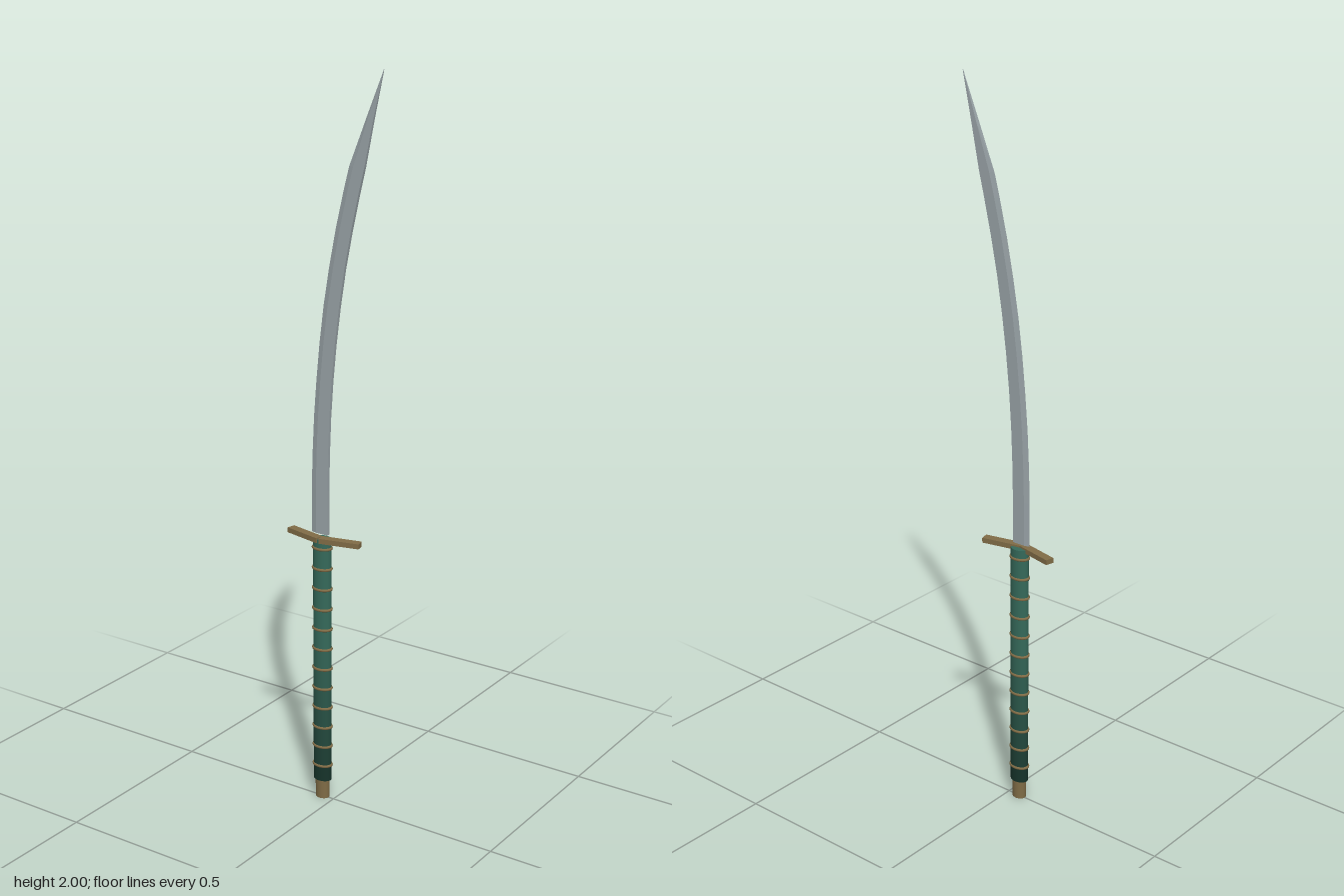
import * as THREE from 'three';

const AXIS = -0.036; // x of the grip's centre line
const mat = (color, extra = {}) => new THREE.MeshStandardMaterial({ color, ...extra });

function add(parent, name, geometry, material, x = 0, y = 0, z = 0) {
  const mesh = new THREE.Mesh(geometry, material);
  mesh.name = name;
  mesh.position.set(x, y, z);
  parent.add(mesh);
  return mesh;
}

// Blade: a five-sided section (sharp left edge, flat right spine) swept upwards
function bladeGeometry() {
  // y, sharp edge x, spine x, half thickness
  const rows = [
    [0.777, -0.069, -0.016, 0.0045], [0.9, -0.069, -0.016, 0.0045], [1.0, -0.066, -0.014, 0.0045],
    [1.1, -0.061, -0.010, 0.0045], [1.2, -0.053, -0.003, 0.0045], [1.3, -0.043, 0.007, 0.0045],
    [1.4, -0.030, 0.020, 0.0045], [1.5, -0.013, 0.036, 0.0045], [1.6, 0.007, 0.056, 0.0045],
    [1.7, 0.031, 0.079, 0.0045], [1.76, 0.047, 0.094, 0.0043], [1.88, 0.096, 0.119, 0.0035],
    [2.0, 0.146, 0.147, 0.0008],
  ];
  const section = [[0, 0], [0.3, 1], [1, 1], [1, -1], [0.3, -1]];
  const n = section.length;
  const pos = [], index = [];
  for (const [y, a, b, t] of rows)
    for (const [u, v] of section) pos.push(a + (b - a) * u, y, v * t);
  for (let r = 0; r < rows.length - 1; r++)
    for (let i = 0; i < n; i++) {
      const p = r * n + i, q = r * n + (i + 1) % n;
      index.push(p, q, p + n, q, q + n, p + n);
    }
  const top = (rows.length - 1) * n;
  for (let i = 1; i < n - 1; i++) {
    index.push(0, i + 1, i);
    index.push(top, top + i, top + i + 1);
  }
  const g = new THREE.BufferGeometry();
  g.setAttribute('position', new THREE.Float32BufferAttribute(pos, 3));
  g.setIndex(index);
  const flat = g.toNonIndexed();
  flat.computeVertexNormals();
  return flat;
}

export function createModel() {
  const sword = new THREE.Group();
  sword.name = 'sword';
  const bronze = mat(0x806c46);

  add(sword, 'blade', bladeGeometry(), mat(0x9aa4a8, { flatShading: true }));

  // Guard: two bars meeting in a shallow V
  const guard = new THREE.Group();
  guard.name = 'guard';
  sword.add(guard);
  for (const side of [-1, 1]) {
    const bar = add(guard, side < 0 ? 'rightGuardBar' : 'leftGuardBar',
      new THREE.BoxGeometry(0.113, 0.014, 0.0235), bronze, AXIS + side * 0.0565, 0.763, -0.001);
    bar.rotation.y = side * 0.22;
  }

  // Oval grip in bands that darken towards the pommel
  const grip = new THREE.Group();
  grip.name = 'grip';
  grip.position.x = AXIS;
  sword.add(grip);
  const bottom = 0.055, top = 0.765, bands = 12, step = 0.058;
  const dark = new THREE.Color(0x16332a), light = new THREE.Color(0x35695a);
  for (let i = 0; i <= bands; i++) {
    const y0 = i === 0 ? bottom : 0.1 + (i - 1) * step;
    const y1 = i === bands ? top : 0.1 + i * step;
    const color = dark.clone().lerp(light, Math.min(1, i / 7));
    const band = add(grip, 'gripBand', new THREE.CylinderGeometry(0.0265, 0.0265, y1 - y0, 24),
      mat(color), 0, (y0 + y1) / 2, 0);
    band.scale.z = 0.74;
    if (i < bands) {
      const ring = add(grip, 'gripRing', new THREE.TorusGeometry(0.0265, 0.004, 8, 24), bronze, 0, y1, 0);
      ring.rotation.x = Math.PI / 2;
      ring.scale.y = 0.75;
    }
  }

  // Pommel
  const pommel = add(sword, 'pommel', new THREE.CylinderGeometry(0.021, 0.02, 0.06, 16), bronze, AXIS, 0.03, 0);
  pommel.scale.z = 0.82;
  return sword;
}
